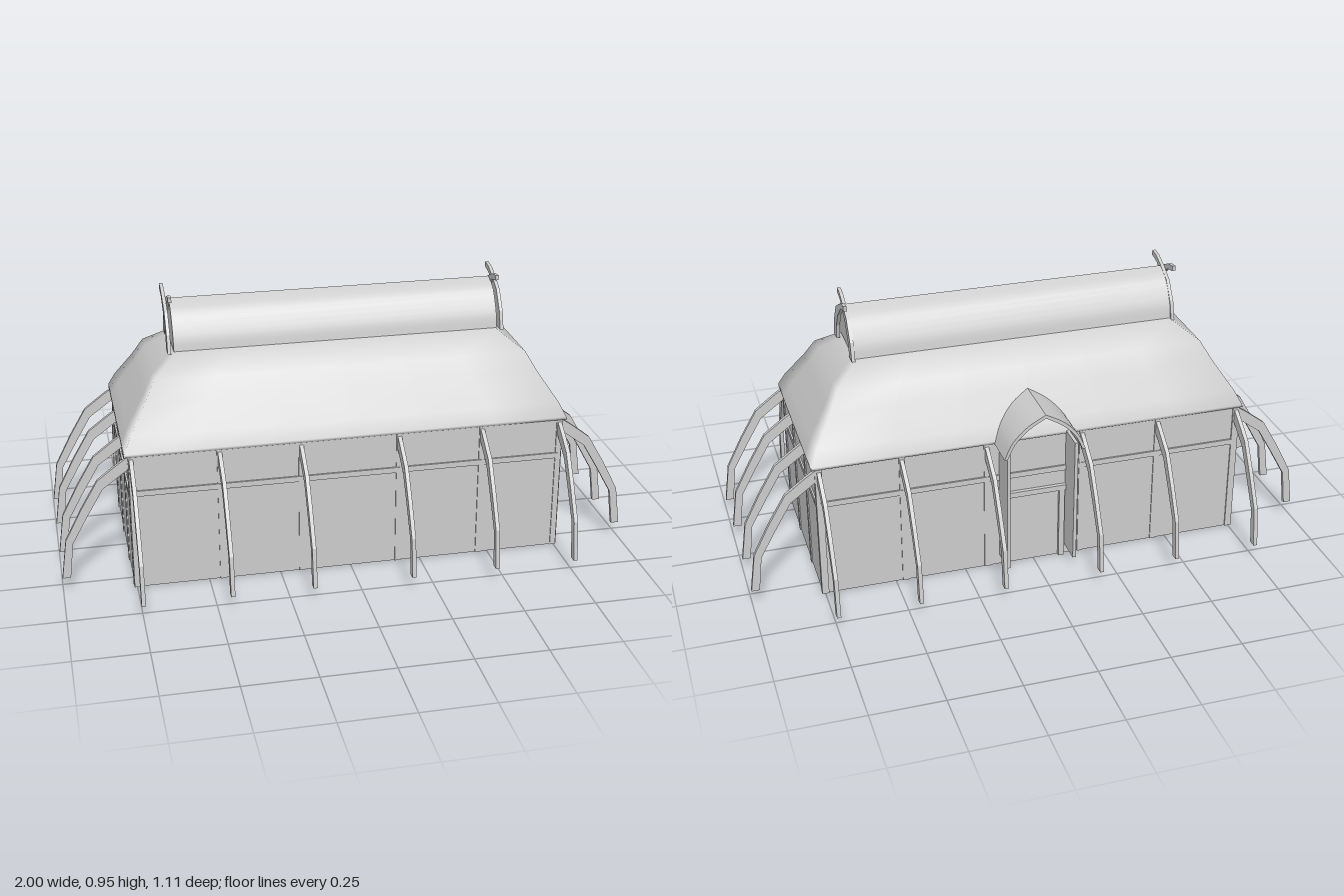
import * as THREE from 'three';
import { toCreasedNormals } from 'three/addons/utils/BufferGeometryUtils.js';

const mat = new THREE.MeshStandardMaterial({ color: 0xcccccc, side: THREE.DoubleSide });
const V2 = (p) => new THREE.Vector2(p[0], p[1]);

function add(parent, name, geo, x = 0, y = 0, z = 0) {
  const m = new THREE.Mesh(geo, mat);
  m.name = name;
  m.position.set(x, y, z);
  parent.add(m);
  return m;
}
const box = (parent, name, w, h, d, x, y, z) =>
  add(parent, name, new THREE.BoxGeometry(w, h, d), x, y, z);

// Plate cut from an outline, centred on its thickness
function plate(points, depth) {
  const g = new THREE.ExtrudeGeometry(new THREE.Shape(points.map(V2)), { depth, bevelEnabled: false });
  return g.translate(0, 0, -depth / 2);
}
// The same, with the outline lying in the z-y plane
const sidePlate = (points, depth) => plate(points, depth).rotateY(-Math.PI / 2);

// Smooth arch from half a profile running up from the eave to the ridge
function arch(half) {
  const pts = new THREE.SplineCurve(half.map(V2)).getPoints(12).map((p) => [p.x, p.y]);
  return [...pts, ...pts.slice(0, -1).reverse().map(([x, y]) => [-x, y])];
}

// Hipped roof: rectangular rings [half depth, height], always 0.45 longer than deep
function roofGeometry() {
  const rings = [[0.312, 0.487], [0.322, 0.49], [0.321, 0.499], [0.297, 0.548], [0.236, 0.643],
    [0.199, 0.71], [0.118, 0.77], [0.075, 0.78]];
  const n = 6, pos = [], idx = [], count = 4 * n;
  for (const [d, y] of rings) {
    const c = [[d + 0.45, d], [d + 0.45, -d], [-d - 0.45, -d], [-d - 0.45, d]];
    for (let k = 0; k < 4; k++) {
      const a = c[k], b = c[(k + 1) % 4];
      for (let i = 0; i < n; i++) {
        const t = i / n;
        pos.push(a[0] + (b[0] - a[0]) * t, y, a[1] + (b[1] - a[1]) * t);
      }
    }
  }
  for (let r = 0; r < rings.length - 1; r++)
    for (let i = 0; i < count; i++) {
      const a = r * count + i, b = r * count + (i + 1) % count;
      idx.push(a, b, b + count, a, b + count, a + count);
    }
  const g = new THREE.BufferGeometry();
  g.setAttribute('position', new THREE.Float32BufferAttribute(pos, 3));
  g.setIndex(idx);
  g.computeVertexNormals();
  return g;
}

export function createModel() {
  const house = new THREE.Group();
  house.name = 'longhouse';
  const W = 0.757, D = 0.318, H = 0.49, T = 0.01;
  const longSpots = [-0.749, -0.452, -0.173, 0.17, 0.466, 0.747];
  const endSpots = [-0.312, -0.109, 0.113, 0.304];

  // Walls with inner and outer rails and posts
  for (const s of [1, -1]) {
    const face = s > 0 ? 'front' : 'back', end = s > 0 ? 'left' : 'right';
    box(house, face + 'Wall', 2 * W, H, T, 0, H / 2, s * (D - T / 2));
    box(house, end + 'EndWall', T, H, 2 * D, s * (W - T / 2), H / 2, 0);
    box(house, face + 'Rail', 2 * W - 0.02, 0.02, T + 0.012, 0, 0.355, s * (D - T / 2));
    box(house, end + 'EndRail', T + 0.012, 0.02, 2 * D - 0.04, s * (W - T / 2), 0.355, 0);
    for (const x of longSpots) box(house, face + 'Post', 0.02, H, 0.024, x, H / 2, s * (D - 0.008));
    for (const z of endSpots) box(house, end + 'Post', 0.024, H, 0.022, s * (W - 0.008), H / 2, z);
  }

  // Bent raking props leaning against every post
  const propGeo = plate([[0, 0.487], [0.03, 0.467], [0.105, 0.41], [0.165, 0.307], [0.222, 0.196],
    [0.241, 0.057], [0.213, 0.057], [0.198, 0.185], [0.142, 0.286], [0.088, 0.378], [0, 0.443]], 0.014);
  const prop = (name, x, z, turn) => { add(house, name, propGeo, x, 0, z).rotation.y = turn; };
  for (const x of longSpots) {
    prop('frontProp', x, D - 0.004, -Math.PI / 2);
    prop('backProp', x, -D + 0.004, Math.PI / 2);
  }
  for (const z of endSpots) {
    prop('leftProp', W + 0.002, z, 0);
    prop('rightProp', -W - 0.002, z, Math.PI);
  }

  // Main roof
  add(house, 'roof', roofGeometry());

  // Arched ridge cap
  const cap = arch([[0.113, 0.772], [0.1, 0.825], [0.058, 0.893], [0, 0.927]]);
  add(house, 'ridgeCap', toCreasedNormals(sidePlate(cap, 1.14), 0.7));

  // Crossed horned boards at each end of the ridge
  const horn = [[0.122, 0.767], [0.104, 0.83], [0.06, 0.896], [0, 0.93], [-0.042, 0.949], [-0.08, 0.954],
    [-0.08, 0.936], [-0.033, 0.926], [0.03, 0.875], [0.066, 0.82], [0.08, 0.767]];
  const mirrored = horn.map(([z, y]) => [-z, y]);
  for (const s of [1, -1]) {
    add(house, 'ridgeHorn', sidePlate(horn, 0.012), s * 0.586);
    add(house, 'ridgeHorn', sidePlate(mirrored, 0.012), s * 0.574);
  }

  // Back porch: arched roof whose inner end is cut to follow the main roof slope
  const porch = new THREE.Group();
  porch.name = 'porch';
  house.add(porch);
  const outer = arch([[0.143, 0.49], [0.115, 0.55], [0.064, 0.603], [0, 0.64]]);
  const inner = arch([[0.132, 0.49], [0.105, 0.545], [0.058, 0.592], [0, 0.627]]).reverse();
  const hood = plate([...outer, ...inner], 0.2).translate(0, 0, -0.34);
  const p = hood.attributes.position;
  for (let i = 0; i < p.count; i++)
    if (p.getZ(i) > -0.3) p.setZ(i, -0.322 + (p.getY(i) - 0.49) * 0.62);
  hood.computeVertexNormals();
  add(porch, 'porchRoof', toCreasedNormals(hood, 0.6));

  // Porch side walls and door frame
  for (const s of [1, -1]) {
    box(porch, 'porchSide', 0.012, 0.46, 0.1, s * 0.12, 0.27, -0.365);
    box(porch, 'doorJamb', 0.02, 0.28, 0.02, s * 0.1, 0.14, -0.32);
  }
  box(porch, 'doorLintel', 0.23, 0.02, 0.024, 0, 0.28, -0.32);

  return house;
}
